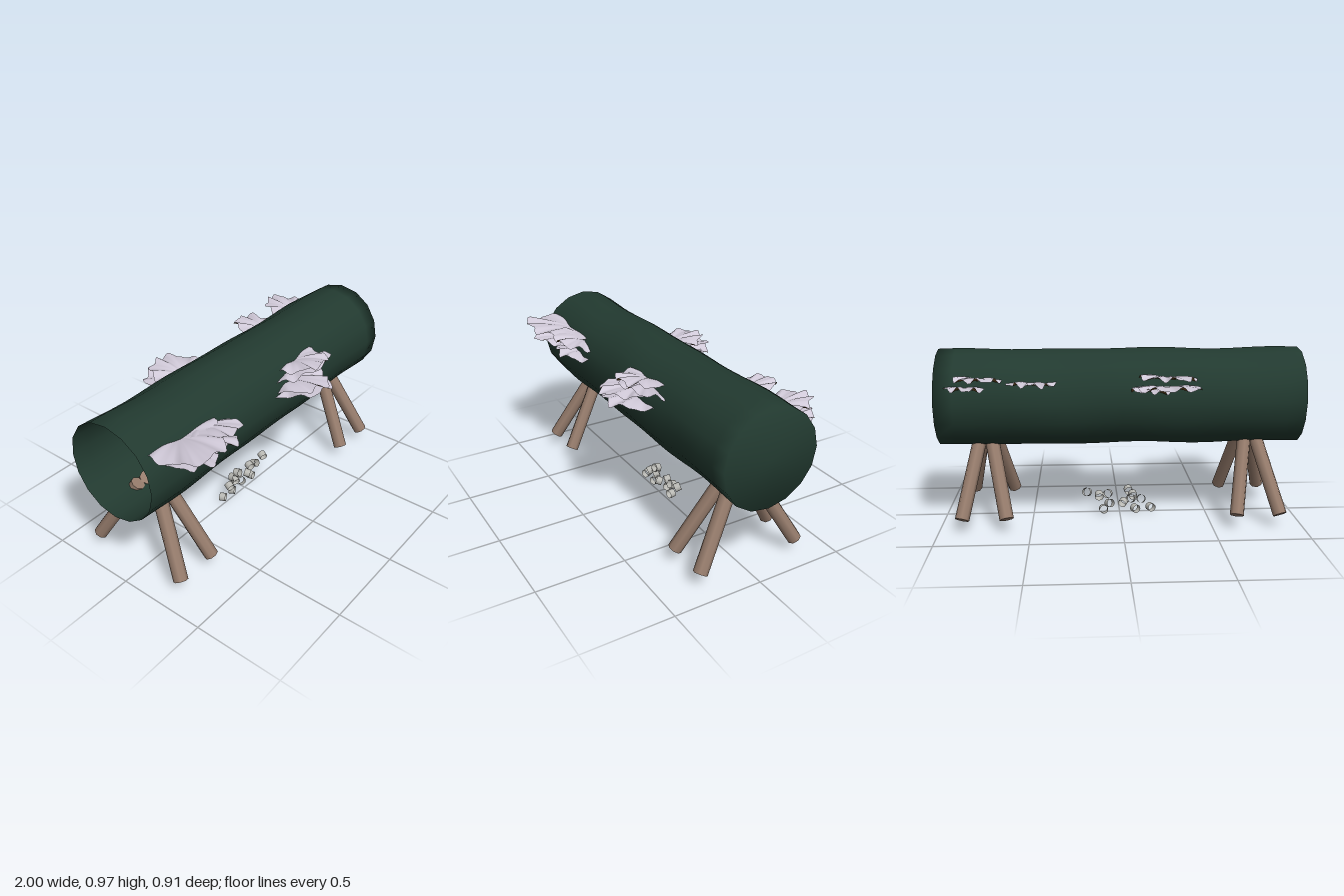
import * as THREE from 'three';
import { mergeVertices } from 'three/addons/utils/BufferGeometryUtils.js';

const mat = (name, color, side = THREE.FrontSide) => {
  const m = new THREE.MeshStandardMaterial({ color, side });
  m.name = name;
  return m;
};

export function createModel() {
  const model = new THREE.Group();
  model.name = 'fallenLog';
  const bark = mat('dark green bark', 0x223a30, THREE.DoubleSide);
  const wood = mat('pale brown wood', 0x967c6c);
  const capTop = mat('lavender fungus top', 0xd0c9d8);
  const capUnder = mat('brown fungus underside', 0x775429);
  const ringMat = mat('grey ring', 0xb9b9b4, THREE.DoubleSide);

  const add = (parent, name, geo, material) => {
    const mesh = new THREE.Mesh(geo, material);
    mesh.name = name;
    parent.add(mesh);
    return mesh;
  };

  // Log: 16-sided tube along x, open at -x, closed at +x, gently uneven
  const CY = 0.706, CZ = -0.02;
  const profile = [];
  for (let i = 0; i <= 20; i++) profile.push(new THREE.Vector2(0.268, -1 + i * 0.1));
  profile.push(new THREE.Vector2(0, 1));
  let log = new THREE.LatheGeometry(profile, 16);
  log.rotateZ(-Math.PI / 2);
  log.deleteAttribute('uv');
  log.deleteAttribute('normal');
  log = mergeVertices(log, 1e-4);
  const p = log.attributes.position;
  for (let i = 0; i < p.count; i++) {
    const x = p.getX(i), y = p.getY(i), z = p.getZ(i);
    const a = Math.atan2(y, z);
    const k = 1 + 0.024 * Math.sin(9 * x + 2 * a) * Math.cos(a - 0.6 + 2 * x);
    p.setXYZ(i, x, y * k + CY, z * k + CZ);
  }
  log.computeVertexNormals();
  add(model, 'log', log, bark);

  // Legs: four splayed poles under each end
  const up = new THREE.Vector3(0, 1, 0);
  for (const [topX, footX] of [[-0.765, -0.87], [-0.70, -0.63], [0.715, 0.63], [0.785, 0.87]]) {
    for (const s of [1, -1]) {
      const foot = new THREE.Vector3(footX, 0.085, CZ + s * 0.295);
      const top = new THREE.Vector3(topX, 0.47, CZ + s * 0.075);
      const dir = top.clone().sub(foot);
      const leg = add(model, 'leg', new THREE.CylinderGeometry(0.039, 0.039, dir.length(), 8), wood);
      leg.position.copy(foot).addScaledVector(dir, 0.5);
      leg.quaternion.setFromUnitVectors(up, dir.normalize());
    }
  }

  // One face of a wavy bracket fungus: a scalloped fan spreading towards +z
  const fan = (f, under) => {
    const NR = 8, NA = 40, pos = [], idx = [];
    for (let i = 0; i <= NR; i++) {
      const t = i / NR;
      for (let j = 0; j <= NA; j++) {
        const a = -0.15 + (Math.PI + 0.3) * j / NA;
        const r = t * (1 + 0.045 * Math.sin(7 * a + f.ph) + 0.035 * Math.sin(12 * a + 2 * f.ph));
        const x = r * f.rx * Math.cos(a) + f.lean * r * Math.sin(a);
        const wave = 0.011 * t * t * (Math.sin(9 * a + f.ph) + 0.6 * Math.sin(15 * a + 3 * f.ph));
        const dome = 0.012 * Math.sin(Math.PI * t);
        const y = f.rise * r * Math.sin(a) + f.tilt * x + wave + dome - (under ? 0.014 * (1 - t * t) : 0);
        pos.push(x, y, r * f.rz * Math.sin(a));
      }
    }
    for (let i = 0; i < NR; i++) for (let j = 0; j < NA; j++) {
      const a = i * (NA + 1) + j, b = a + 1, c = a + NA + 1, d = c + 1;
      if (under) idx.push(a, c, b, b, c, d);
      else idx.push(a, b, c, b, d, c);
    }
    const g = new THREE.BufferGeometry();
    g.setAttribute('position', new THREE.Float32BufferAttribute(pos, 3));
    g.setIndex(idx);
    g.computeVertexNormals();
    return g;
  };

  // Fungus clusters: [side, x, y, half width, reach, lean, tilt along x]
  const shelves = [
    [1, -0.72, 0.85, 0.22, 0.27, -0.06, -0.06],
    [1, -0.56, 0.83, 0.16, 0.20, 0.02, -0.12],
    [1, -0.73, 0.785, 0.16, 0.24, -0.02, -0.08],
    [1, -0.57, 0.755, 0.16, 0.19, 0.02, -0.12],
    [1, 0.20, 0.86, 0.15, 0.19, 0.02, 0.04],
    [1, 0.20, 0.825, 0.22, 0.17, 0.04, 0.04],
    [1, 0.12, 0.785, 0.16, 0.26, 0.03, 0.03],
    [1, 0.15, 0.745, 0.19, 0.25, 0.02, -0.03],
    [-1, -0.25, 0.835, 0.16, 0.21, 0, 0.03],
    [-1, -0.24, 0.785, 0.20, 0.245, 0, 0],
    [-1, -0.15, 0.765, 0.12, 0.17, 0, 0.04],
    [-1, 0.49, 0.81, 0.13, 0.21, -0.02, 0.03],
    [-1, 0.76, 0.835, 0.13, 0.20, 0.01, 0.03],
    [-1, 0.84, 0.785, 0.12, 0.18, -0.03, 0.02],
  ];
  shelves.forEach(([s, x, y, rx, rz, lean, tilt], i) => {
    const f = { rx, rz, lean: s * lean, tilt: s * tilt, ph: i * 1.7, rise: s > 0 ? 0.035 : 0.025 };
    const g = new THREE.Group();
    g.name = 'bracketFungus';
    g.position.set(x, y, CZ + s * 0.19);
    if (s < 0) g.rotation.y = Math.PI;
    add(g, 'fungusTop', fan(f, false), capTop);
    add(g, 'fungusUnderside', fan(f, true), capUnder);
    model.add(g);
  });

  // Loose pile of little open rings below the log
  const rings = [[-0.18, 0.04], [-0.125, 0.09], [-0.075, 0.12], [-0.05, 0.145], [-0.065, 0.095],
    [-0.09, 0.035], [-0.02, 0.07], [0.06, 0.07], [0.07, 0.125], [0.12, 0.115], [0.095, 0.035], [0.19, 0.135]];
  const ringGeo = new THREE.CylinderGeometry(0.024, 0.024, 0.036, 16, 1, true);
  ringGeo.rotateX(Math.PI / 2);
  rings.forEach(([x, y], i) => {
    const ring = add(model, 'ring', ringGeo, ringMat);
    ring.position.set(x, y, CZ + 0.008 * Math.sin(i * 2.4));
    ring.rotation.set(0.4 * Math.sin(i * 1.9), 0.5 * Math.sin(i * 2.7 + 1), 0);
  });

  return model;
}
